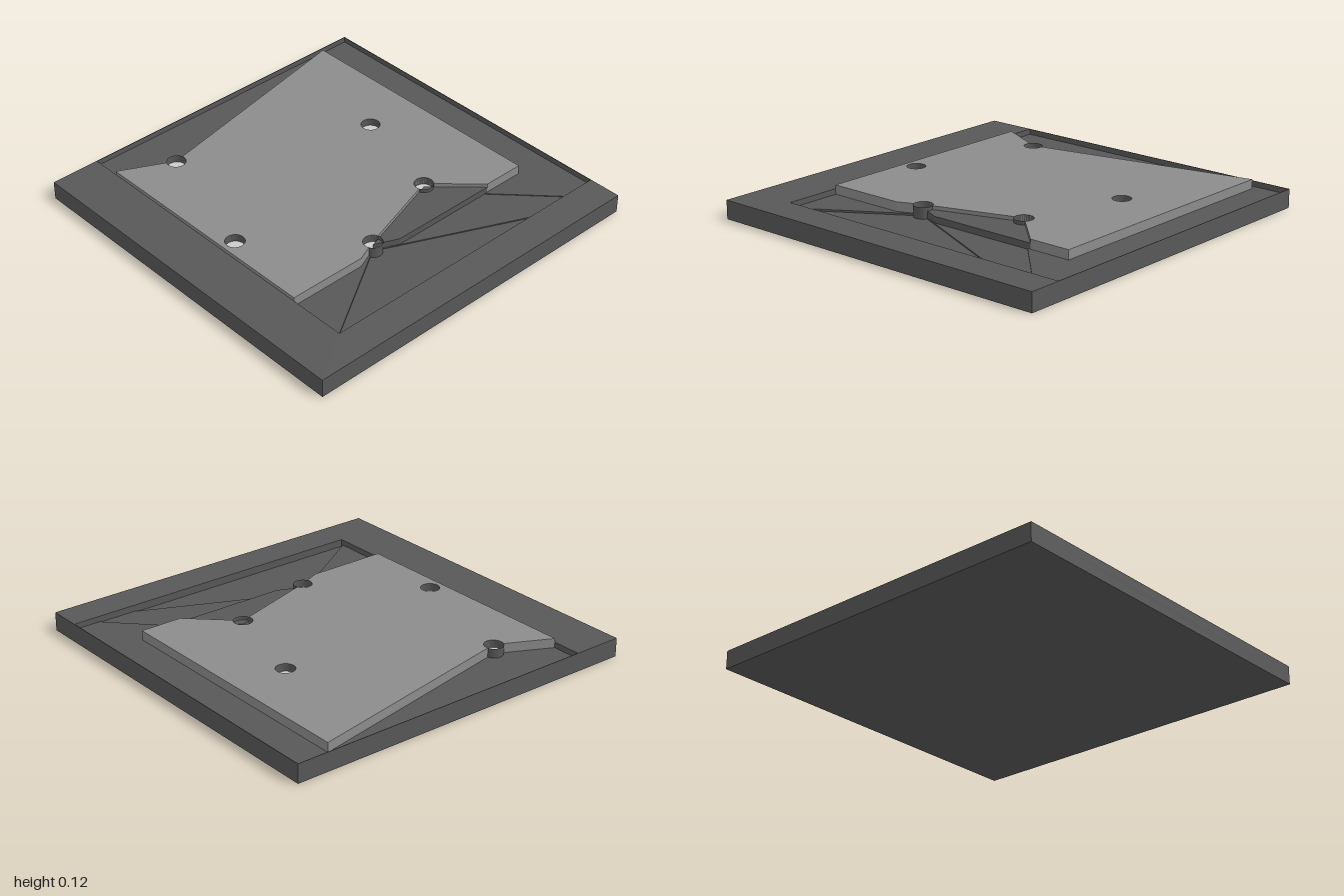
import * as THREE from 'three';

const R = 0.05;
const rad = THREE.MathUtils.degToRad;
// Plan coordinates are [x, -z]
const pins = [[-0.45, 0.7], [0.5, 0.265], [-0.655, 0], [0.34, -0.29], [-0.17, -0.455]];

function outline(points) {
  return new THREE.Shape(points.map(([x, y]) => new THREE.Vector2(x, y)));
}

function circlePath([x, y]) {
  return new THREE.Path().absarc(x, y, R, 0, Math.PI * 2, true);
}

export function createModel() {
  const model = new THREE.Group();
  const dark = new THREE.MeshStandardMaterial({ color: 0x585858 });
  const darkThin = new THREE.MeshStandardMaterial({ color: 0x585858, side: THREE.DoubleSide });
  const mid = new THREE.MeshStandardMaterial({ color: 0x8c8c8c });
  const light = new THREE.MeshStandardMaterial({ color: 0xcccccc });

  function add(name, geometry, material) {
    const mesh = new THREE.Mesh(geometry, material);
    mesh.name = name;
    model.add(mesh);
    return mesh;
  }

  // Flat layer extruded from a plan shape between two heights
  function layer(name, shape, y0, y1, material) {
    const g = new THREE.ExtrudeGeometry(shape, { depth: y1 - y0, bevelEnabled: false, curveSegments: 32 });
    g.rotateX(-Math.PI / 2);
    g.translate(0, y0, 0);
    return add(name, g, material);
  }

  // Base slab with a raised rim round the pocket
  const square = [[-1, -1], [1, -1], [1, 1], [-1, 1]];
  layer('baseSlab', outline(square), 0, 0.06, dark);
  const rim = outline(square);
  rim.holes.push(outline([[-0.73, -0.82], [-0.73, 0.997], [0.997, 0.997], [0.997, -0.82]]));
  layer('rim', rim, 0.06, 0.1, dark);

  // Pocket floor, stepped along the lines that run out from the pins
  layer('pocketFloor', outline([
    [-0.73, -0.81], pins[4], pins[3], [0.85, -0.82], [0.997, -0.82], [0.997, 0.997], [-0.73, 0.997],
  ]), 0.06, 0.07, dark);
  layer('wedgeFloor', outline([pins[4], [0.64, -0.82], [0.85, -0.82], pins[3]]), 0.06, 0.066, dark);
  layer('wedgeStep', outline([pins[4], [-0.04, -0.51], [0.57, -0.51], pins[3]]), 0.06, 0.1, dark);

  // Plate: notched round three pins, pierced by the other two
  const plate = new THREE.Shape();
  const notch = ([x, y], from, to) => plate.absarc(x, y, R, rad(from), rad(to), true);
  plate.moveTo(-0.73, -0.51);
  plate.lineTo(-0.3, -0.51);
  notch(pins[4], 203, 18);
  notch(pins[3], 198, -44);
  plate.lineTo(0.57, -0.51);
  plate.lineTo(0.8, -0.51);
  plate.lineTo(0.8, 0.96);
  notch(pins[0], 12, -207);
  plate.lineTo(-0.73, 0.84);
  plate.closePath();
  plate.holes.push(circlePath(pins[1]), circlePath(pins[2]));
  layer('plate', plate, 0.07, 0.12, mid);

  // Open sleeves with a light disc inside each
  for (const [x, y] of pins) {
    add('pinSleeve', new THREE.CylinderGeometry(R, R, 0.06, 32, 1, true), darkThin).position.set(x, 0.09, -y);
    add('pinDisc', new THREE.CylinderGeometry(R * 0.99, R * 0.99, 0.02, 32), light).position.set(x, 0.07, -y);
  }
  return model;
}
